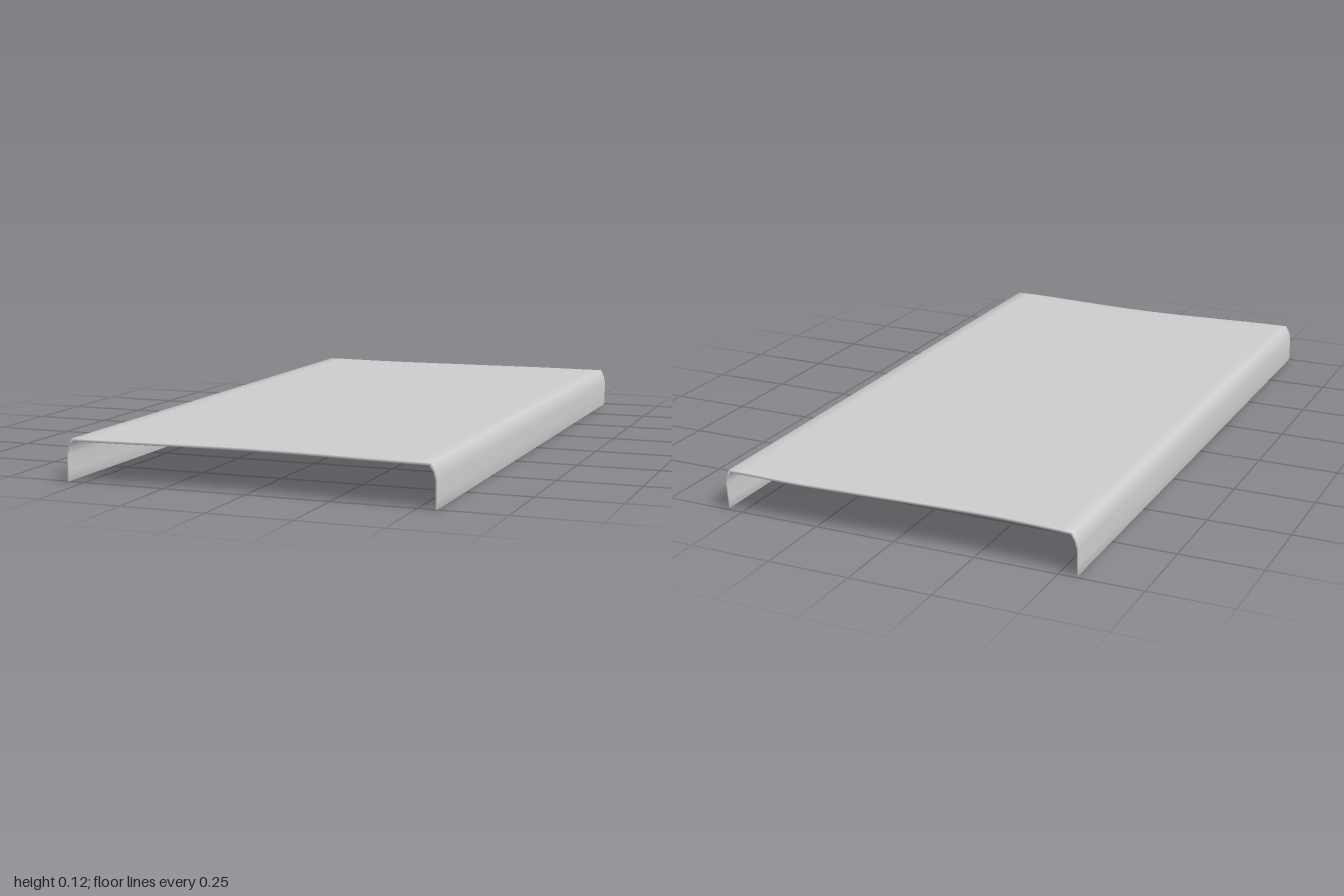
import * as THREE from 'three';

const HALF = 0.555, TOP = 0.125;

// Half cross-section, from the foot of the side flange to the flat panel
const OUTER = [[0.555, 0], [0.555, 0.03], [0.555, 0.08], [0.549, 0.104], [0.538, TOP], [0.5, TOP]];
const INNER = [[0.55, 0], [0.55, 0.03], [0.55, 0.078], [0.543, 0.1], [0.531, 0.117], [0.5, 0.117]];

// Full section from left (+x) to right (-x), with the panel divided evenly
function fullSection(half) {
  const y = half[half.length - 1][1];
  const pts = [...half];
  for (let i = 1; i < 20; i++) pts.push([0.5 - i * 0.05, y]);
  return pts.concat(half.map(([x, h]) => [-x, h]).reverse());
}

// Front edge: shallow concave arc
const frontZ = (x) => 0.97 + 0.03 * (1 - Math.cos((Math.PI * x) / HALF)) / 2;

// Back edge: gentle wave, drawn in a little toward the flange feet
const wave = new THREE.SplineCurve([
  [-0.555, -0.991], [-0.4, -0.98], [-0.25, -0.976], [0, -0.986],
  [0.3, -1], [0.45, -0.998], [0.555, -0.997],
].map(([x, z]) => new THREE.Vector2(x, z))).getPoints(120);

function backZ(x, y) {
  let i = 1;
  while (i < wave.length - 1 && wave[i].x < x) i++;
  const a = wave[i - 1], b = wave[i];
  const z = THREE.MathUtils.mapLinear(x, a.x, b.x, a.y, b.y);
  return z + (x > 0 ? 0.011 : 0.005) * (1 - Math.min(y / 0.117, 1));
}

// Closed shell: section rings lofted lengthwise, with both ends capped
function shellGeometry() {
  const outer = fullSection(OUTER), inner = fullSection(INNER);
  const ring = outer.concat([...inner].reverse());
  const n = ring.length, m = outer.length;
  const rows = [0, 0.02, 0.25, 0.5, 0.75, 0.98, 1];
  const pos = [], index = [];
  for (const t of rows) {
    for (const [x, y] of ring) {
      pos.push(x, y, THREE.MathUtils.lerp(frontZ(x), backZ(x, y), t));
    }
  }
  for (let r = 0; r < rows.length - 1; r++) {
    for (let i = 0; i < n; i++) {
      const j = (i + 1) % n;
      const a = r * n + i, b = r * n + j, c = a + n, d = b + n;
      index.push(a, c, b, b, c, d);
    }
  }
  // End caps between the outer and inner skins
  const last = (rows.length - 1) * n;
  for (let i = 0; i < m - 1; i++) {
    const a = i, b = i + 1, c = n - 1 - i, d = n - 2 - i;
    index.push(a, b, c, b, d, c);
    index.push(last + a, last + c, last + b, last + b, last + c, last + d);
  }
  const geo = new THREE.BufferGeometry();
  geo.setAttribute('position', new THREE.Float32BufferAttribute(pos, 3));
  geo.setIndex(index);
  geo.computeVertexNormals();
  return geo;
}

export function createModel() {
  const group = new THREE.Group();
  group.name = 'coverPanel';
  const shell = new THREE.Mesh(
    shellGeometry(),
    new THREE.MeshStandardMaterial({ color: 0xcccccc, side: THREE.DoubleSide }),
  );
  shell.name = 'foldedShell';
  group.add(shell);
  return group;
}
